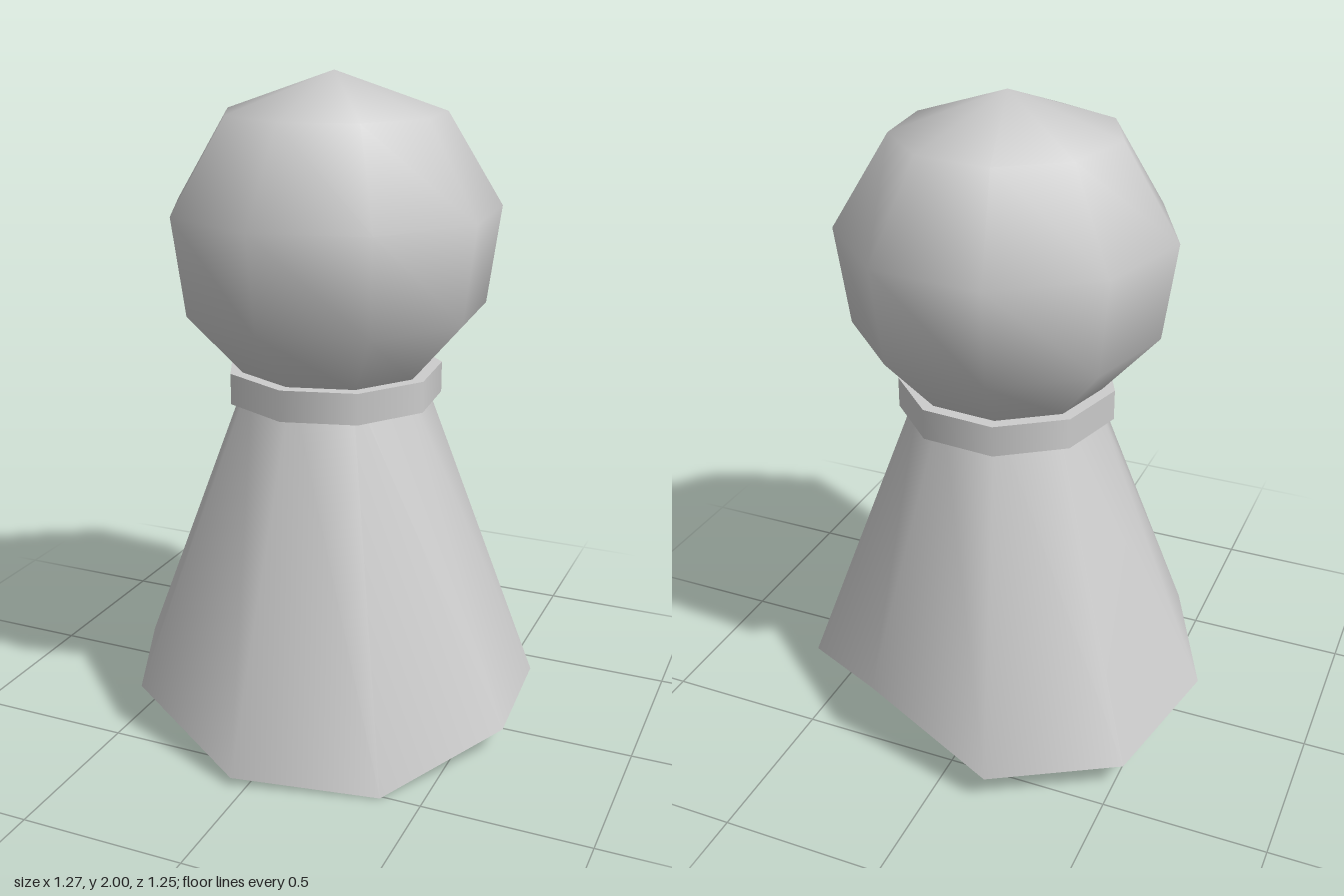
import * as THREE from 'three';
import { mergeVertices } from 'three/addons/utils/BufferGeometryUtils.js';

const SIDES = 9;
const CENTER_X = 0.008;
const CENTER_Z = -0.024;
const TURN = THREE.MathUtils.degToRad(15);

// One regular nine-sided cross-section
function ring(radius, y) {
  return Array.from({ length: SIDES }, (_, k) => {
    const a = TURN + (k * 2 * Math.PI) / SIDES;
    return [CENTER_X + radius * Math.cos(a), y, CENTER_Z + radius * Math.sin(a)];
  });
}

// Skin between cross-sections listed from top to bottom, smooth shaded
function loft(rings) {
  const index = [];
  for (let i = 0; i < rings.length - 1; i++) {
    for (let k = 0; k < SIDES; k++) {
      const next = (k + 1) % SIDES;
      const a = i * SIDES + k, b = i * SIDES + next;
      const c = a + SIDES, d = b + SIDES;
      index.push(a, b, c, b, d, c);
    }
  }
  const geometry = new THREE.BufferGeometry();
  geometry.setAttribute('position', new THREE.Float32BufferAttribute(rings.flat(2), 3));
  geometry.setIndex(index);
  const welded = mergeVertices(geometry);
  welded.computeVertexNormals();
  return welded;
}

export function createModel() {
  const group = new THREE.Group();
  group.name = 'pawnFigure';
  const grey = new THREE.MeshStandardMaterial({ color: 0xcccccc, side: THREE.DoubleSide });
  grey.name = 'light grey';

  const add = (name, geometry) => {
    const mesh = new THREE.Mesh(geometry, grey);
    mesh.name = name;
    group.add(mesh);
    return mesh;
  };

  // Flared hollow body with an uneven hem
  const hem = [
    [0.635, 0.085, 0.145], [0.38, 0, 0.51], [-0.045, 0.025, 0.62],
    [-0.45, 0.14, 0.43], [-0.635, 0.116, 0.03], [-0.53, 0.084, -0.41],
    [-0.165, 0.085, -0.625], [0.26, 0.22, -0.52], [0.61, 0.085, -0.26],
  ];
  add('body', loft([ring(0.262, 1.12), hem]));

  // Collar band
  const collar = add('collar', new THREE.CylinderGeometry(0.333, 0.333, 0.095, SIDES));
  collar.position.set(CENTER_X, 1.075, CENTER_Z);
  collar.rotation.y = Math.PI / 2 - TURN;
  // Cylinder corners start on +z, so turn them onto the shared corner angles
  collar.rotation.y = Math.PI / 2 - TURN;

  // Faceted ball head
  add('head', loft([
    ring(0, 2), ring(0.334, 1.882), ring(0.503, 1.605),
    ring(0.463, 1.31), ring(0.292, 1.12), ring(0.245, 1.07),
  ]));

  return group;
}
